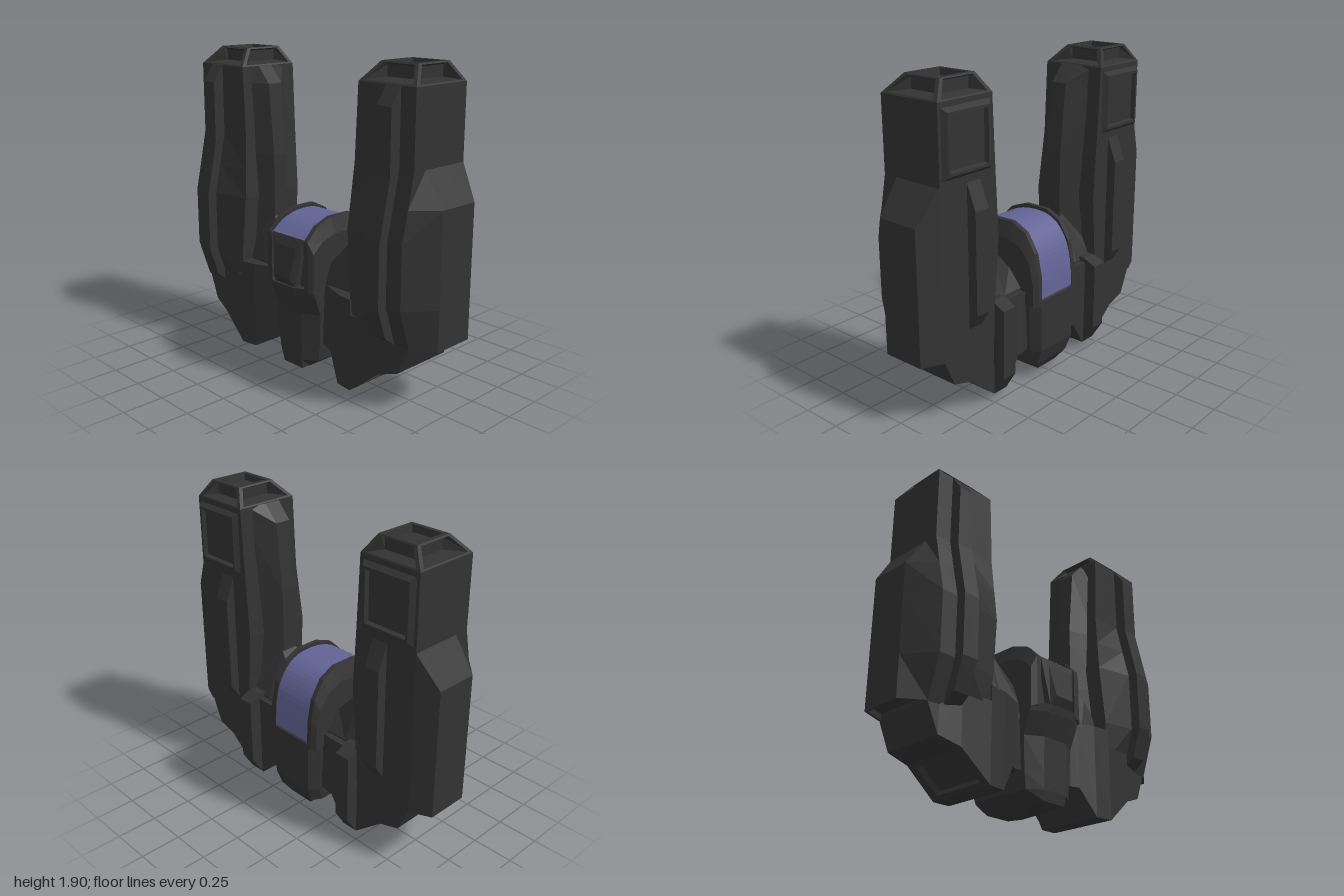
import * as THREE from 'three';

const dark = new THREE.MeshStandardMaterial({ color: 0x333333, side: THREE.DoubleSide });
const blue = new THREE.MeshStandardMaterial({ color: 0x636396, side: THREE.DoubleSide });

// Faceted skin through rings of [x, y, z] points, closed with fans at either end
function loft(rings, capStart = true, capEnd = true) {
  const tris = [];
  const n = rings[0].length;
  for (let i = 0; i + 1 < rings.length; i++) {
    for (let j = 0; j < n; j++) {
      const k = (j + 1) % n;
      const a = rings[i][j], b = rings[i][k], c = rings[i + 1][k], d = rings[i + 1][j];
      tris.push([a, b, c], [a, c, d]);
    }
  }
  const fan = (ring, flip) => {
    for (let j = 1; j + 1 < n; j++) {
      tris.push(flip ? [ring[0], ring[j + 1], ring[j]] : [ring[0], ring[j], ring[j + 1]]);
    }
  };
  if (capStart) fan(rings[0], true);
  if (capEnd) fan(rings[rings.length - 1], false);
  // Turn the skin outward if its signed volume is negative
  let volume = 0;
  for (const [a, b, c] of tris) {
    volume += a[0] * (b[1] * c[2] - b[2] * c[1]) + a[1] * (b[2] * c[0] - b[0] * c[2]) + a[2] * (b[0] * c[1] - b[1] * c[0]);
  }
  if (volume < 0) tris.forEach((t) => t.reverse());
  const geo = new THREE.BufferGeometry();
  geo.setAttribute('position', new THREE.Float32BufferAttribute(tris.flat(2), 3));
  geo.computeVertexNormals();
  return geo;
}

function add(group, name, geo, material = dark) {
  const mesh = new THREE.Mesh(geo, material);
  mesh.name = name;
  group.add(mesh);
}

// Rectangles across the y and x axes
const rectY = (y, x0, x1, z0, z1) => [[x0, y, z0], [x1, y, z0], [x1, y, z1], [x0, y, z1]];
const rectX = (x, y0, y1, z0, z1) => [[x, y0, z0], [x, y1, z0], [x, y1, z1], [x, y0, z1]];

// Ring shrunk towards its middle, then moved by an offset
function inset(ring, s, off = [0, 0, 0]) {
  const mid = [0, 1, 2].map((i) => ring.reduce((sum, p) => sum + p[i], 0) / ring.length);
  return ring.map((p) => p.map((v, i) => mid[i] + (v - mid[i]) * s + off[i]));
}

function createArm(side) {
  const arm = new THREE.Group();
  arm.name = side > 0 ? 'leftArm' : 'rightArm';
  const put = (name, rings, c0, c1) =>
    add(arm, name, loft(rings.map((r) => r.map(([x, y, z]) => [side * x, y, z])), c0, c1));

  // Main column: y, outer x, inner x, front z, front z at the inner edge
  const column = [
    [1.8, 0.875, 0.48, 0.17, 0.17], [1.37, 0.875, 0.46, 0.17, 0.17], [1.18, 1, 0.45, 0.21, 0.185],
    [1, 1, 0.44, 0.25, 0.2], [0.64, 1, 0.47, 0.25, 0.21], [0.4, 1, 0.48, 0.17, 0.19],
  ].map(([y, out, inn, f, fi]) => [
    [out, y, 0.08], [0.875, y, f], [0.67, y, f], [inn, y, fi],
    [inn, y, -0.235], [0.875, y, -0.235], [out, y, -0.18],
  ]);
  const foot = column[column.length - 1];
  put('column', [...column, inset(foot, 0.94), inset(foot, 0.92, [0, 0.03, 0])]);

  // Tapered ridge on the inner face
  const ridge = [[1.8, 0.47], [1.7, 0.38], [1.27, 0.34], [0.88, 0.34], [0.6, 0.34]];
  put('innerRidge', ridge.map(([y, x]) => [[0.5, y, -0.17], [x, y, -0.05], [x, y, 0.05], [0.5, y, 0.12]]));

  // Raised ribs
  const frontRib = [[1.8, 0.172], [1.7, 0.24], [1.33, 0.24], [1, 0.31], [0.64, 0.31], [0.46, 0.25], [0.4, 0.172]];
  put('frontRib', frontRib.map(([y, z]) => rectY(y, 0.675, 0.775, 0.1, z)));
  const backRib = [[1.37, -0.23], [1.21, -0.293], [0.62, -0.293], [0.52, -0.23]];
  put('backRib', backRib.map(([y, z]) => rectY(y, 0.58, 0.68, z, -0.15)));

  // Framed back panel
  const plate = [[0.5, 1.395, -0.23], [0.86, 1.395, -0.23], [0.86, 1.775, -0.23], [0.5, 1.775, -0.23]];
  put('backPanel', [plate, inset(plate, 0.86, [0, 0, -0.033]), inset(plate, 0.78, [0, 0, -0.033]),
    inset(plate, 0.74, [0, 0, -0.008])]);

  // Cap: sunken top and a deep upright niche in each sloped side
  const low = rectY(1.8, 0.48, 0.875, -0.235, 0.17);
  const high = rectY(1.905, 0.55, 0.8, -0.18, 0.07);
  put('capTop', [high, inset(high, 0.8), inset(high, 0.76, [0, -0.04, 0])], false, true);
  const niche = inset(high, 0.82);
  for (let i = 0; i < 4; i++) {
    const k = (i + 1) % 4;
    const slope = [low[i], low[k], high[k], high[i]];
    const wall = [[i, 1.82], [k, 1.82], [k, 1.885], [i, 1.885]].map(([c, y]) => [niche[c][0], y, niche[c][2]]);
    put('capSide', [slope, inset(slope, 0.84), wall], false, true);
  }

  // Base linking the column to the pod: x, bottom, top, back z, front z
  const innerBase = [
    [0.16, 0.21, 0.57, -0.225, 0.13], [0.22, 0.2, 0.59, -0.225, 0.14], [0.27, 0.2, 0.59, -0.23, 0.16],
    [0.37, 0.04, 0.59, -0.23, 0.2], [0.48, 0.04, 0.59, -0.23, 0.215],
  ];
  const outerBase = [
    [0.67, 0.2, 0.5, -0.23, 0.2], [0.8, 0.24, 0.5, -0.23, 0.17], [0.87, 0.4, 0.45, -0.23, 0.165],
  ];
  put('innerBase', innerBase.map((b) => rectX(...b)));
  put('outerBase', outerBase.map((b) => rectX(...b)));

  // Middle of the base with a window sunk into its sloped underside
  const hatch = [[0.48, 0.04, -0.23], [0.67, 0.2, -0.23], [0.67, 0.2, 0.2], [0.48, 0.04, 0.215]];
  put('baseWindow', [hatch.map(([x, , z]) => [x, 0.5, z]), hatch, inset(hatch, 0.76),
    inset(hatch, 0.68, [-0.016, 0.019, 0])]);

  // Sloping saddle above the base
  const saddle = [[0.48, 0.95, 0.06], [0.34, 0.88, 0.06], [0.2, 0.71, 0.1], [0.14, 0.65, 0.1]];
  put('saddle', saddle.map(([x, top, z]) =>
    [[x, 0.5, -0.2], [x, 0.6, -0.19], [x, top, -z], [x, top, z - 0.01], [x, 0.6, 0.13], [x, 0.5, 0.14]]));

  // Block behind the base
  const block = [[0.62, -0.22], [0.58, -0.305], [0.16, -0.305], [0.04, -0.23]];
  put('backBlock', block.map(([y, z]) => rectY(y, 0.38, 0.48, z, -0.1)));
  return arm;
}

function createPod() {
  const pod = new THREE.Group();
  pod.name = 'centrePod';

  // Side profile of the arch as [z, y]
  const arch = [
    [0.25, 0.56], [0.25, 0.86], [0.17, 0.94], [0.06, 0.98], [-0.1, 0.98],
    [-0.2, 0.93], [-0.27, 0.82], [-0.3, 0.68], [-0.305, 0.5],
  ];
  const slice = (x, sy, sz) => arch.map(([z, y]) => [x, 0.5 + (y - 0.5) * sy, -0.03 + (z + 0.03) * sz]);
  add(pod, 'core', loft([slice(-0.15, 0.92, 0.92), slice(0.15, 0.92, 0.92)]));
  for (const s of [-1, 1]) {
    add(pod, 'archFlange', loft([slice(s * 0.14, 1, 1), slice(s * 0.17, 1, 1), slice(s * 0.2, 0.8, 0.93)]));
  }

  // Blue band wrapped over the arch
  const path = new THREE.CatmullRomCurve3([
    [0.245, 0.86], [0.16, 0.922], [0.05, 0.957], [-0.1, 0.955], [-0.19, 0.91],
    [-0.26, 0.81], [-0.293, 0.68], [-0.302, 0.54],
  ].map(([z, y]) => new THREE.Vector3(0, y, z)));
  add(pod, 'band', loft(path.getPoints(28).map(({ y, z }) => {
    const yi = 0.5 + (y - 0.5) * 0.85, zi = z * 0.85;
    return [[-0.142, y, z], [0.142, y, z], [0.142, yi, zi], [-0.142, yi, zi]];
  })), blue);

  // Tapered nose with bevelled edges
  const frame = [[-0.135, 0.865, 0.245], [0.135, 0.865, 0.245], [0.085, 0.575, 0.27], [-0.085, 0.575, 0.27]];
  const front = [[-0.095, 0.81, 0.27], [0.095, 0.81, 0.27], [0.065, 0.63, 0.3], [-0.065, 0.63, 0.3]];
  add(pod, 'nose', loft([inset(frame, 1, [0, 0, -0.12]), frame, front]));

  // Lower hull: y, half width, half flat, back z, front z
  const hull = [
    [0.575, 0.195, 0.09, -0.22, 0.285], [0.53, 0.195, 0.09, -0.307, 0.275], [0.4, 0.19, 0.09, -0.307, 0.225],
    [0.2, 0.18, 0.09, -0.305, 0.22], [0.1, 0.17, 0.085, -0.27, 0.22], [0.04, 0.085, 0.08, -0.23, 0.21],
    [0, 0.004, 0.003, -0.04, -0.02],
  ];
  add(pod, 'hull', loft(hull.map(([y, w, f, b, t]) => {
    const c = Math.min(0.06, (t - b) * 0.2);
    const g = f + (w - f) * 0.6;
    return [[f, y, t], [w, y, t - c], [w, y, b + c], [g, y, b], [-g, y, b], [-w, y, b + c], [-w, y, t - c], [-f, y, t]];
  })));
  return pod;
}

export function createModel() {
  const model = new THREE.Group();
  model.name = 'twinArmDevice';
  model.add(createArm(1), createArm(-1), createPod());
  return model;
}
